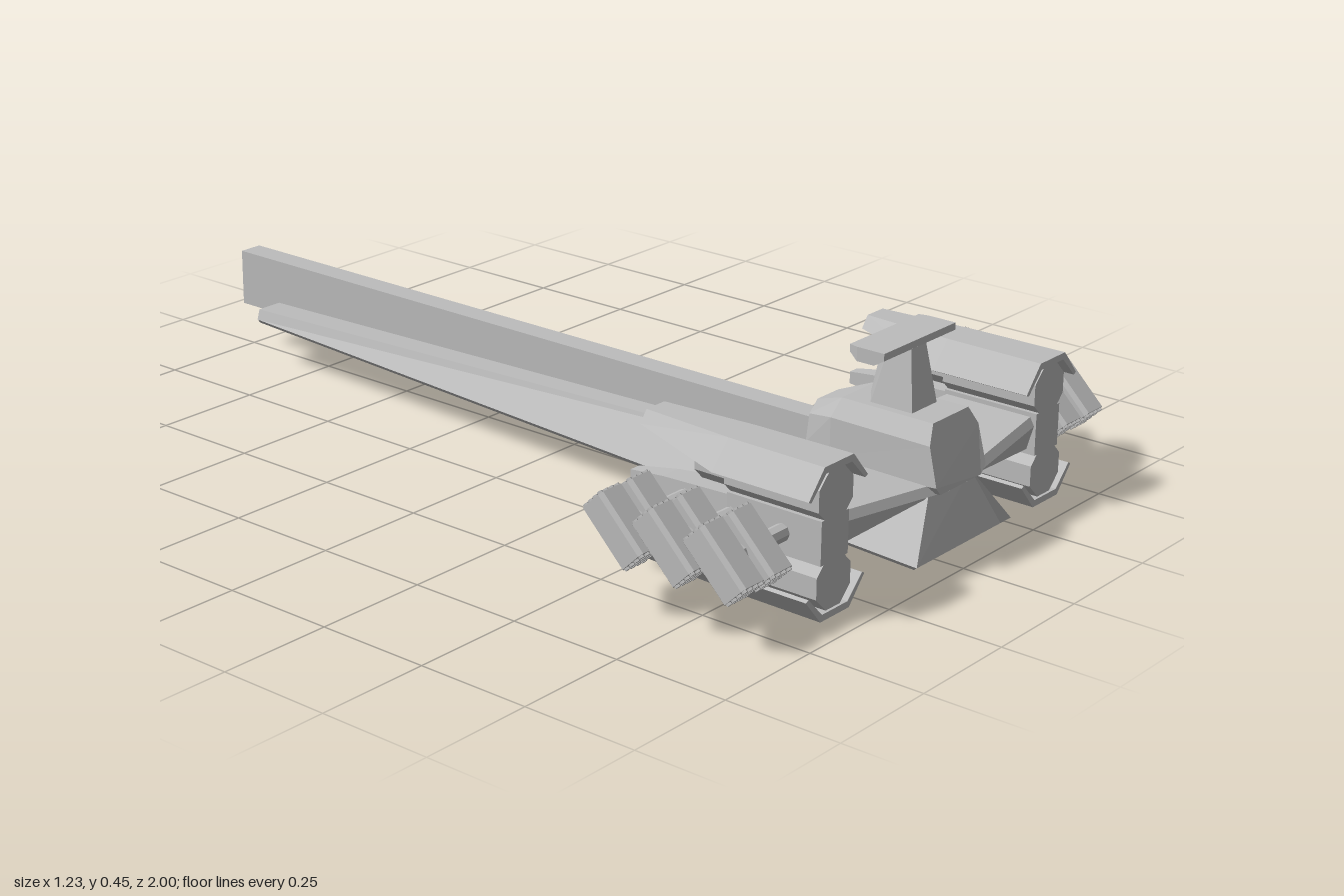
import * as THREE from 'three';

const grey = new THREE.MeshStandardMaterial({ color: 0xbcbcbc, flatShading: true });
grey.name = 'hull grey';

function add(parent, name, geometry, x = 0, y = 0, z = 0) {
  const mesh = new THREE.Mesh(geometry, grey);
  mesh.name = name;
  mesh.position.set(x, y, z);
  parent.add(mesh);
  return mesh;
}

// Closed flat-faced solid through rings of equal point count
function loft(rings) {
  const tris = [];
  const n = rings[0].length;
  for (let r = 0; r < rings.length - 1; r++) {
    const a = rings[r], b = rings[r + 1];
    for (let i = 0; i < n; i++) {
      const j = (i + 1) % n;
      tris.push([a[i], a[j], b[j]], [a[i], b[j], b[i]]);
    }
  }
  const cap = (ring, flip) => {
    const pts = ring.map((p) => new THREE.Vector2(p[0], p[1]));
    for (const [i, j, k] of THREE.ShapeUtils.triangulateShape(pts, [])) {
      // the triangulator keeps the winding of the outline it is given
      const d = (pts[j].x - pts[i].x) * (pts[k].y - pts[i].y) - (pts[j].y - pts[i].y) * (pts[k].x - pts[i].x);
      const same = (d > 0) === (THREE.ShapeUtils.area(pts) > 0);
      tris.push(same !== flip ? [ring[i], ring[j], ring[k]] : [ring[i], ring[k], ring[j]]);
    }
  };
  cap(rings[0], true);
  cap(rings[rings.length - 1], false);
  // Turn all faces outward
  let volume = 0;
  for (const [a, b, c] of tris) {
    volume += new THREE.Vector3(...a).dot(new THREE.Vector3(...b).cross(new THREE.Vector3(...c)));
  }
  const ordered = volume < 0 ? tris.map(([a, b, c]) => [a, c, b]) : tris;
  const geo = new THREE.BufferGeometry();
  geo.setAttribute('position', new THREE.Float32BufferAttribute(ordered.flat(2), 3));
  geo.computeVertexNormals();
  return geo;
}

// Mirror a half outline (x, y, z), listed bottom to top, into a full ring
const mirrorRing = (half) => [...half, ...half.slice().reverse().map(([x, y, z]) => [-x, y, z])];

// Rectangle ring in the XY plane
const rect = (x0, x1, y0, y1, z) => [[x0, y0, z], [x1, y0, z], [x1, y1, z], [x0, y1, z]];

function octagon(r) {
  const pts = [];
  for (let i = 0; i < 8; i++) {
    const a = (i + 0.5) * Math.PI / 4;
    pts.push(new THREE.Vector2(Math.cos(a) * r, Math.sin(a) * r));
  }
  return pts;
}

function prism(r, depth, hole) {
  const shape = new THREE.Shape(octagon(r));
  if (hole) shape.holes.push(new THREE.Path(octagon(hole)));
  return new THREE.ExtrudeGeometry(shape, { depth, bevelEnabled: false });
}

// One armour cover, above (up = 1) or below (up = -1) the engine block
function cover(s, up) {
  const ring = (z, w, ridge, edgeY) => [
    [-w, edgeY], [-ridge, 0.325], [ridge, 0.325], [w, edgeY],
    [w - 0.008, edgeY - 0.004], [ridge - 0.005, 0.311], [-ridge + 0.005, 0.311], [-w + 0.008, edgeY - 0.004],
  ].map(([x, y]) => [s * (0.363 + x), up > 0 ? y : 0.34 - y, z]);
  return loft([ring(0.955, 0.092, 0.045, 0.27), ring(0.73, 0.092, 0.042, 0.27), ring(0.52, 0.046, 0.027, 0.3)]);
}

// Tilted launcher box with a grid of tube ends on both short faces
function launcher() {
  const g = new THREE.Group();
  g.name = 'launcher';
  const shape = new THREE.Shape();
  const h = 0.034, c = 0.008;
  [[-h + c, -h], [h - c, -h], [h, -h + c], [h, h - c], [h - c, h], [-h + c, h], [-h, h - c], [-h, -h + c]]
    .forEach(([x, y], i) => (i ? shape.lineTo(x, y) : shape.moveTo(x, y)));
  const body = new THREE.ExtrudeGeometry(shape, { depth: 0.138, bevelEnabled: false });
  body.translate(0, 0, -0.069);
  add(g, 'launcherBox', body);
  const tube = new THREE.CylinderGeometry(0.006, 0.006, 0.148, 6);
  tube.rotateX(Math.PI / 2);
  for (let i = 0; i < 4; i++) {
    for (let j = 0; j < 4; j++) add(g, 'launchTube', tube, (i - 1.5) * 0.016, (j - 1.5) * 0.016, 0);
  }
  g.rotation.x = Math.PI / 4;
  return g;
}

function createSide(s) {
  const g = new THREE.Group();
  g.name = s > 0 ? 'leftSide' : 'rightSide';

  // Wing: thin at the root, thicker at the tip
  const wingRing = (x, zb, zf, y0, y1) => [
    [s * x, y0, zb], [s * x, y0, zf - 0.015], [s * x, y1 - 0.018, zf], [s * x, y1, zf - 0.01], [s * x, y1, zb],
  ];
  const wing = [wingRing(0.03, 0.69, 0.98, 0.165, 0.185), wingRing(0.325, 0.735, 0.945, 0.135, 0.206)];
  // caps are triangulated in XY, so build with axes swapped and turn back
  const swapped = wing.map((r) => r.map(([x, y, z]) => [z, y, -x]));
  add(g, 'wing', loft(swapped).rotateY(-Math.PI / 2).scale(1, 1, 1));

  // Engine block between the covers
  add(g, 'engineCore', new THREE.BoxGeometry(0.085, 0.09, 0.22), s * 0.363, 0.17, 0.84);
  add(g, 'engineSpike', loft([
    rect(s * 0.363 - 0.04, s * 0.363 + 0.04, 0.13, 0.21, 0.735),
    rect(s * 0.363 - 0.024, s * 0.363 + 0.024, 0.148, 0.196, 0.56),
    rect(s * 0.363 - 0.013, s * 0.363 + 0.013, 0.157, 0.183, 0.47),
  ]));
  for (const up of [1, -1]) {
    const y = 0.17 + up * 0.087;
    add(g, 'engine', prism(0.0575, 0.22), s * 0.363, y, 0.73);
    add(g, 'nozzle', prism(0.045, 0.085, 0.035), s * 0.363, y, 0.65);
    add(g, 'nozzleCore', prism(0.018, 0.06), s * 0.363, y, 0.68);
    add(g, 'cover', cover(s, up));
  }

  // Launcher rack on three cross rods
  for (const z of [0.62, 0.74, 0.86]) {
    const rod = new THREE.CylinderGeometry(0.018, 0.018, 0.2, 8).rotateZ(Math.PI / 2);
    add(g, 'launcherRod', rod, s * 0.48, 0.17, z);
    for (const x of [0.497, 0.581]) {
      const box = launcher();
      box.position.set(s * x, 0.17, z);
      g.add(box);
    }
  }
  return g;
}

export function createModel() {
  const model = new THREE.Group();
  model.name = 'gunship';

  // Long wedge hull and spine beam
  add(model, 'hull', loft([
    mirrorRing([[0.15, 0.043, 0.985], [0.163, 0.055, 1], [0.07, 0.177, 0.96]]),
    mirrorRing([[0.088, 0.1, -0.88], [0.097, 0.11, -0.88], [0.09, 0.133, -0.88]]),
  ]));
  add(model, 'spineBeam', new THREE.BoxGeometry(0.055, 0.128, 1.7), 0, 0.17, -0.15);

  // Cabin with chamfered roof and narrowed rear
  add(model, 'cabin', loft([
    mirrorRing([[0.07, 0.172, 0.985], [0.085, 0.19, 0.985], [0.083, 0.27, 0.965], [0.06, 0.308, 0.955]]),
    mirrorRing([[0.08, 0.165, 0.73], [0.08, 0.19, 0.73], [0.08, 0.27, 0.73], [0.058, 0.308, 0.74]]),
    mirrorRing([[0.05, 0.165, 0.65], [0.05, 0.19, 0.65], [0.047, 0.25, 0.655], [0.035, 0.28, 0.665]]),
  ]));

  // Mast and crossbar
  const mastRing = (y, w, z0, z1) => [[-w, -z1, y], [w, -z1, y], [w, -z0 - 0.03, y], [0, -z0, y], [-w, -z0 - 0.03, y]];
  add(model, 'mast', loft([mastRing(0.3, 0.043, 0.765, 0.895), mastRing(0.43, 0.025, 0.795, 0.875)]).rotateX(-Math.PI / 2));
  add(model, 'crossbar', loft([
    rect(-0.115, 0.115, 0.432, 0.447, 0.795),
    rect(-0.12, 0.12, 0.418, 0.447, 0.815),
    rect(-0.12, 0.12, 0.418, 0.447, 0.855),
    rect(-0.12, 0.12, 0.432, 0.447, 0.878),
  ]));

  // Belly mount
  const belly = (y, w, d) => [[-w, 0], [-w * 0.6, -d], [w * 0.6, -d], [w, 0], [w * 0.6, d], [-w * 0.6, d]]
    .map(([x, z]) => [x, -z - 0.83, y]);
  add(model, 'bellyPlate', loft([belly(0.028, 0.06, 0.06), belly(0.05, 0.075, 0.07)]).rotateX(-Math.PI / 2));
  add(model, 'bellyPod', loft([belly(0, 0.043, 0.055), belly(0.035, 0.043, 0.06)]).rotateX(-Math.PI / 2));

  model.add(createSide(1), createSide(-1));
  return model;
}
